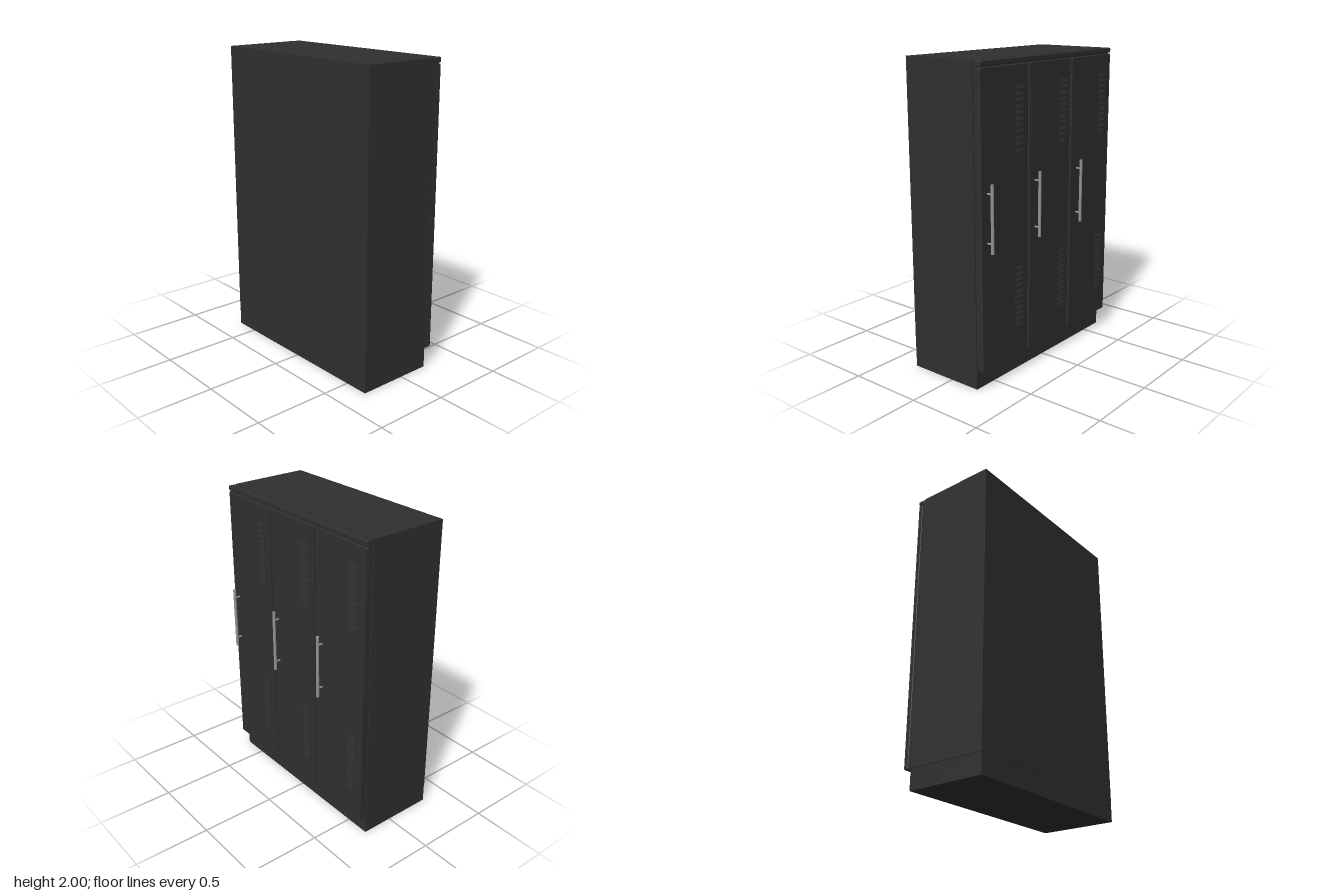
import * as THREE from 'three';
import { RoundedBoxGeometry } from 'three/addons/geometries/RoundedBoxGeometry.js';

const BODY = new THREE.MeshStandardMaterial({ color: 0x303030 });
BODY.name = 'charcoalSteel';
const METAL = new THREE.MeshStandardMaterial({ color: 0x969492 });
METAL.name = 'brushedMetal';

function add(parent, name, geometry, material, x = 0, y = 0, z = 0) {
  const mesh = new THREE.Mesh(geometry, material);
  mesh.name = name;
  mesh.position.set(x, y, z);
  parent.add(mesh);
  return mesh;
}

// Box given by its limits on each axis, optionally with rounded edges
function block(parent, name, [x0, x1], [y0, y1], [z0, z1], radius = 0) {
  const size = [x1 - x0, y1 - y0, z1 - z0];
  const geometry = radius
    ? new RoundedBoxGeometry(...size, 2, radius)
    : new THREE.BoxGeometry(...size);
  return add(parent, name, geometry, BODY, (x0 + x1) / 2, (y0 + y1) / 2, (z0 + z1) / 2);
}

// Pressed louvre: slopes out from the door and opens downwards
function louvreGeometry(width) {
  const s = new THREE.Shape();
  s.moveTo(-0.004, -0.012);
  s.lineTo(0.006, -0.012);
  s.lineTo(0.006, -0.006);
  s.lineTo(0, 0.013);
  s.lineTo(-0.004, 0.013);
  s.closePath();
  const g = new THREE.ExtrudeGeometry(s, { depth: width, bevelEnabled: false });
  g.translate(0, 0, -width / 2);
  return g;
}

function makeHandle(z) {
  const handle = new THREE.Group();
  handle.name = 'handle';
  add(handle, 'handleBar', new THREE.CylinderGeometry(0.01, 0.01, 0.42, 16), METAL, 0.3, 1.09, z);
  for (const y of [0.94, 1.24]) {
    const post = add(handle, 'handlePost', new THREE.CylinderGeometry(0.006, 0.006, 0.04, 12), METAL, 0.28, y, z);
    post.rotation.z = Math.PI / 2;
  }
  return handle;
}

export function createModel() {
  const group = new THREE.Group();
  group.name = 'locker';

  // Plinth and carcass
  block(group, 'plinth', [-0.315, 0.21], [0, 0.13], [-0.663, 0.663]);
  block(group, 'carcass', [-0.315, 0.21], [0.132, 2], [-0.665, 0.665]);

  // Front frame behind the doors, with a rounded head rail
  block(group, 'frontFrame', [0.214, 0.245], [0.132, 1.99], [-0.663, 0.663]);
  block(group, 'frameFixing', [0.205, 0.22], [0.14, 1.99], [-0.65, 0.65]);
  block(group, 'headRail', [0.213, 0.265], [1.968, 2], [-0.665, 0.665], 0.006);

  // Doors with louvres above and below, hinged side by side
  const doors = [
    { z: [0.231, 0.665], vent: 0.318, handle: 0.61 },
    { z: [-0.209, 0.219], vent: -0.125, handle: 0.158 },
    { z: [-0.665, -0.221], vent: -0.568, handle: -0.288 },
  ];
  const louvre = louvreGeometry(0.068);
  for (const d of doors) {
    const door = new THREE.Group();
    door.name = 'door';
    block(door, 'doorPanel', [0.23, 0.264], [0.132, 1.962], d.z, 0.006);
    for (const base of [0.335, 1.453]) {
      for (let i = 0; i < 11; i++) {
        add(door, 'louvre', louvre, BODY, 0.264, base + i * 0.0375, d.vent);
      }
    }
    door.add(makeHandle(d.handle));
    group.add(door);
  }

  // Slim raised border of the middle door
  block(group, 'doorBorder', [0.26, 0.267], [0.178, 0.184], [-0.19, 0.2]);
  block(group, 'doorBorder', [0.26, 0.267], [1.944, 1.95], [-0.19, 0.2]);
  for (const z of [-0.193, 0.2]) {
    block(group, 'doorBorder', [0.26, 0.267], [0.178, 1.95], [z - 0.003, z + 0.003]);
  }
  return group;
}
